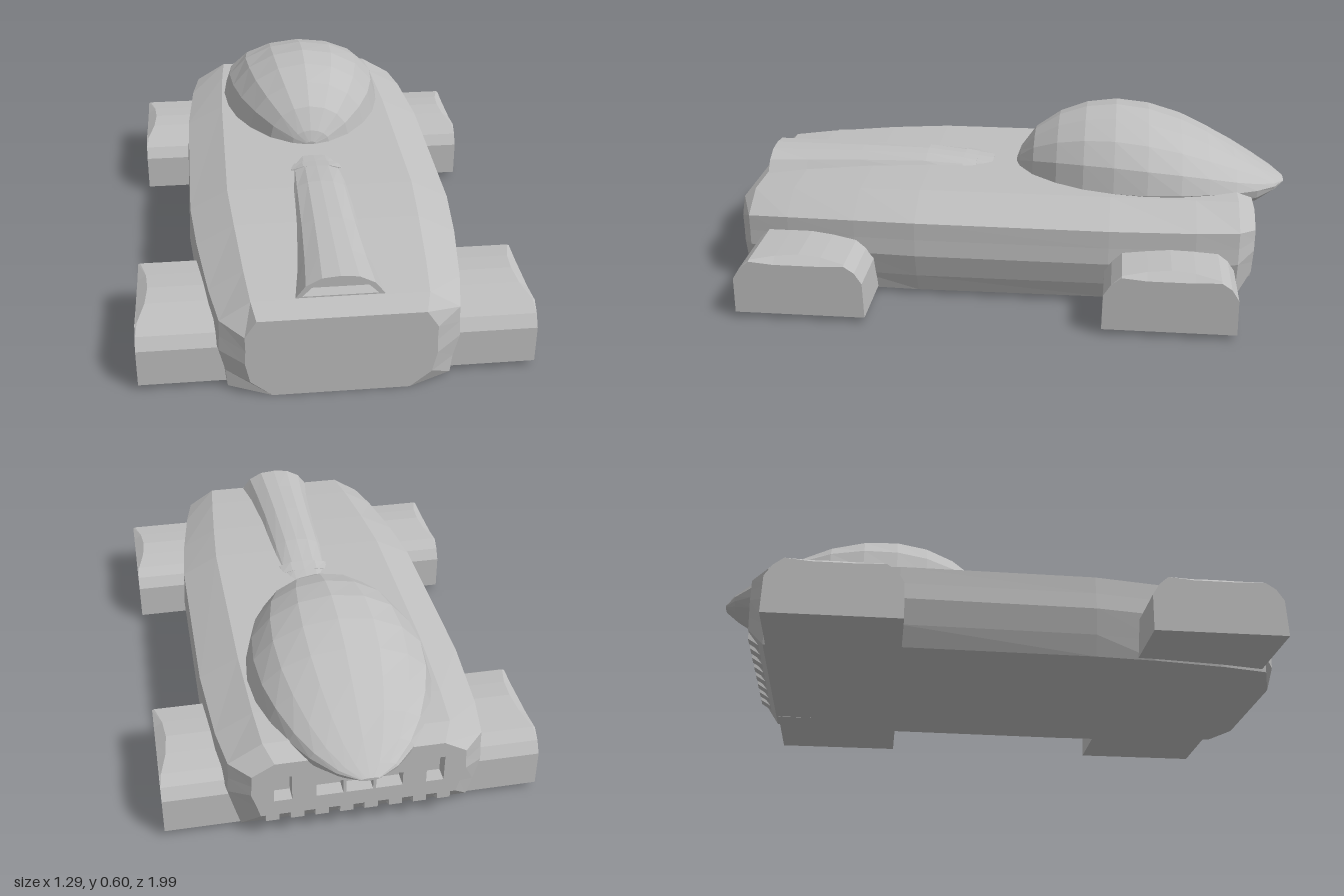
import * as THREE from 'three';

// Faceted loft through rings ordered front to back, each ring counter-clockwise seen from +z
function loft(rings, capBack = true) {
  const pos = [], n = rings[0].length;
  const tri = (...pts) => pts.forEach(p => pos.push(...p));
  for (let s = 0; s < rings.length - 1; s++) {
    for (let i = 0; i < n; i++) {
      const j = (i + 1) % n, a = rings[s], b = rings[s + 1];
      tri(a[i], b[i], a[j]);
      tri(a[j], b[i], b[j]);
    }
  }
  const cap = (r, flip) => {
    for (let i = 1; i < n - 1; i++) flip ? tri(r[0], r[i + 1], r[i]) : tri(r[0], r[i], r[i + 1]);
  };
  cap(rings[0], false);
  if (capBack) cap(rings[rings.length - 1], true);
  const g = new THREE.BufferGeometry();
  g.setAttribute('position', new THREE.Float32BufferAttribute(pos, 3));
  g.computeVertexNormals();
  return g;
}

// Mirrored hull section: half width, top, top half width, bottom, bottom half width
function hullRing([z, w, top, topW, bot, botW]) {
  const y = f => bot + (top - bot) * f;
  const half = [[botW, bot], [w * 0.95, y(0.2)], [w, y(0.45)], [w * 0.99, y(0.62)],
    [w * 0.4 + (w * 0.55 + topW * 0.05), y(0.8)], [topW, top]];
  return [...half, ...half.slice().reverse().map(([x, v]) => [-x, v])].map(([x, v]) => [x, v, z]);
}

export function createModel() {
  const model = new THREE.Group();
  const grey = new THREE.MeshStandardMaterial({ color: 0xbfbfbf });
  const add = (name, geo, parent = model) => {
    const m = new THREE.Mesh(geo, grey);
    m.name = name;
    parent.add(m);
    return m;
  };

  // Main body
  const hull = [
    [1.0, 0.305, 0.29, 0.265, 0.0, 0.22],
    [0.95, 0.385, 0.33, 0.28, 0.01, 0.36],
    [0.8, 0.415, 0.345, 0.295, 0.012, 0.385],
    [0.55, 0.45, 0.362, 0.315, 0.014, 0.41],
    [0.33, 0.47, 0.37, 0.33, 0.016, 0.42],
    [-0.35, 0.475, 0.37, 0.33, 0.02, 0.42],
    [-0.65, 0.455, 0.365, 0.32, 0.02, 0.41],
    [-0.8, 0.43, 0.36, 0.31, 0.022, 0.39],
    [-0.86, 0.36, 0.32, 0.28, 0.1, 0.33],
  ].map(hullRing);
  add('body', loft(hull, false));

  // Rear panel with vent openings
  const panel = new THREE.Shape(hull[hull.length - 1].map(([x, y]) => new THREE.Vector2(x, y)));
  const vents = [[-0.255, 0.06, 0.16, 0.26], [0.255, 0.06, 0.16, 0.26],
    [-0.1, 0.09, 0.16, 0.215], [0, 0.09, 0.16, 0.215], [0.1, 0.09, 0.16, 0.215]];
  for (const [x, w, y0, y1] of vents) {
    const h = w / 2;
    panel.holes.push(new THREE.Path([[x - h, y0], [x - h, y1], [x + h, y1], [x + h, y0]]
      .map(p => new THREE.Vector2(...p))));
  }
  const panelGeo = new THREE.ExtrudeGeometry(panel, { depth: 0.05, bevelEnabled: false });
  add('rearPanel', panelGeo).position.z = -0.86;
  add('ventBacking', new THREE.BoxGeometry(0.62, 0.16, 0.01)).position.set(0, 0.2, -0.805);

  // Diffuser fins under the tail
  const fin = new THREE.Shape([[0.8, 0.03], [0.82, 0.05], [0.86, 0.075], [0.86, 0.11], [0.8, 0.11]]
    .map(p => new THREE.Vector2(...p)));
  const finGeo = new THREE.ExtrudeGeometry(fin, { depth: 0.045, bevelEnabled: false });
  finGeo.rotateY(Math.PI / 2).translate(-0.0225, 0, 0);
  for (let i = 0; i < 8; i++) add('diffuserFin', finGeo).position.x = -0.29 + i * 0.083;

  // Teardrop canopy: z, half width, top, centre height, lower depth
  const SEG = 16;
  const canopy = [
    [0.01, 0.02, 0.38, 0.37, 0.01], [-0.005, 0.07, 0.42, 0.37, 0.04], [-0.06, 0.15, 0.495, 0.37, 0.07],
    [-0.15, 0.222, 0.555, 0.37, 0.1], [-0.25, 0.273, 0.59, 0.37, 0.1], [-0.36, 0.303, 0.602, 0.37, 0.1],
    [-0.48, 0.315, 0.587, 0.37, 0.1], [-0.6, 0.303, 0.55, 0.37, 0.1], [-0.7, 0.272, 0.503, 0.365, 0.1],
    [-0.8, 0.225, 0.448, 0.355, 0.1], [-0.88, 0.17, 0.4, 0.345, 0.085], [-0.95, 0.1, 0.36, 0.335, 0.035],
    [-0.99, 0.03, 0.335, 0.33, 0.005],
  ].map(([z, w, top, mid, low]) => Array.from({ length: SEG }, (_, i) => {
    const a = i / SEG * Math.PI * 2, s = Math.sin(a);
    return [w * Math.cos(a), mid + s * (s > 0 ? top - mid : low), z];
  }));
  add('canopy', loft(canopy));

  // Hood scoop with a recessed arched mouth
  const scoopRing = ([z, w, top, bot]) => [[1, 0], [0.75, 0.6], [0.4, 0.93], [0, 1],
    [-0.4, 0.93], [-0.75, 0.6], [-1, 0]].map(([x, f]) => [x * w, bot + (top - bot) * f, z]);
  add('hoodScoop', loft([
    [0.9, 0.12, 0.386, 0.335], [0.945, 0.12, 0.386, 0.335], [0.945, 0.145, 0.405, 0.325],
    [0.8, 0.132, 0.405, 0.33], [0.6, 0.12, 0.405, 0.34], [0.35, 0.112, 0.402, 0.35],
    [0.21, 0.105, 0.387, 0.35], [0.21, 0.12, 0.387, 0.35], [0.16, 0.12, 0.379, 0.35],
    [0.16, 0.108, 0.379, 0.35], [0.1, 0.105, 0.371, 0.35],
  ].map(scoopRing)));

  // Wheel fenders: side profile lofted outward, the outer top edge curving inward
  const profile = [[0.228, 0.02], [0.225, 0.15], [0.2, 0.19], [0.165, 0.218], [0.08, 0.23],
    [0, 0.235], [-0.08, 0.23], [-0.165, 0.222], [-0.2, 0.19], [-0.225, 0.15], [-0.228, 0.02]];
  const crown = z => Math.max(0, 1 - (z / 0.18) ** 2);
  const fenderRing = (x, inset, drop) => profile.map(([z, y]) =>
    [z, y - drop * crown(z) * (y > 0.2), x - inset * crown(z) * (y > 0.2)]);
  const fenderGeo = loft([fenderRing(0.645, 0, 0.025), fenderRing(0.643, 0.035, 0), fenderRing(0.3, 0, 0)]);
  fenderGeo.rotateY(Math.PI / 2);
  for (const [name, z] of [['frontFender', 0.707], ['rearFender', -0.563]]) {
    for (const side of [1, -1]) {
      const f = add(name, fenderGeo);
      f.position.z = z;
      if (side < 0) f.rotation.y = Math.PI;
    }
  }
  return model;
}
